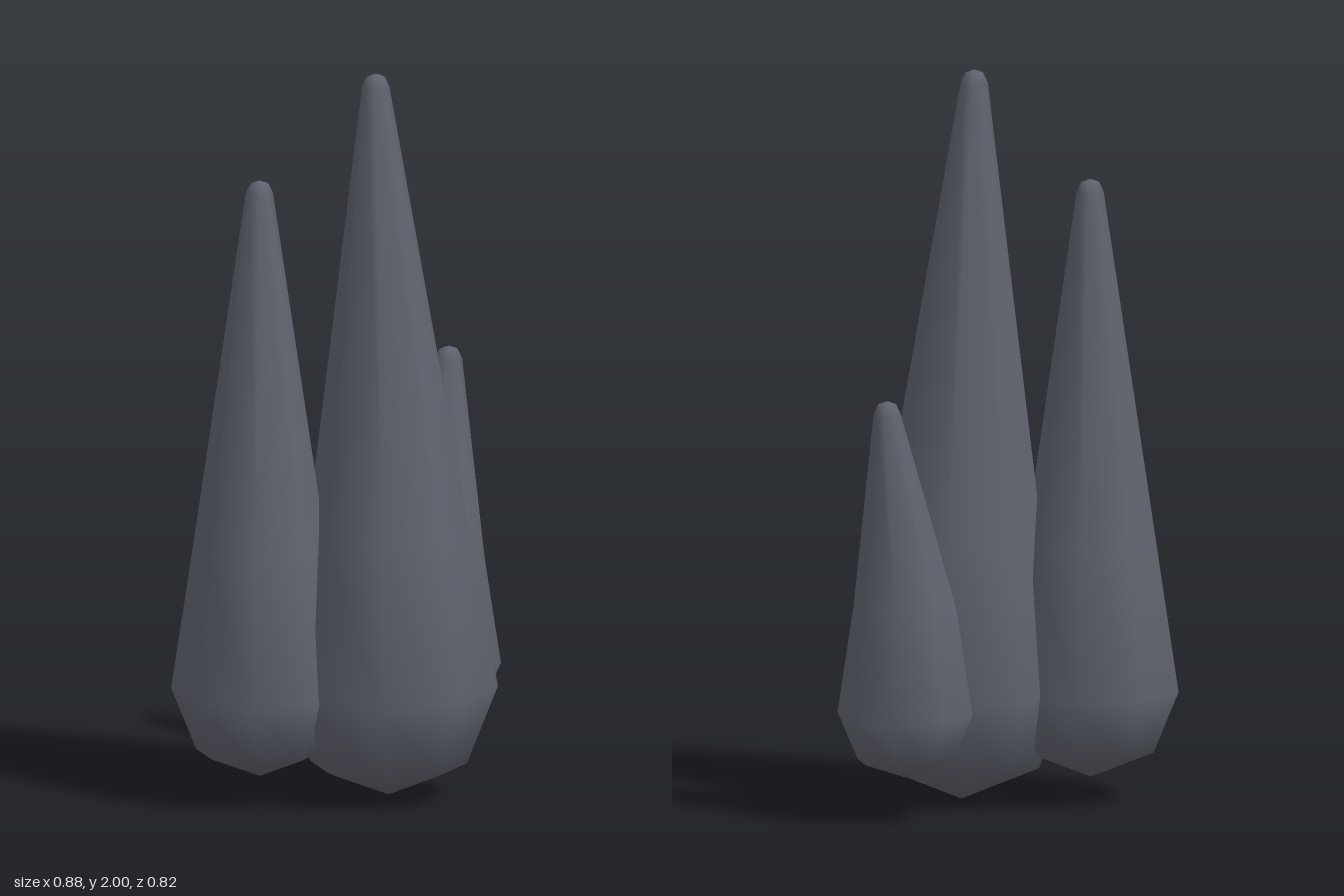
import * as THREE from 'three';
import { mergeVertices } from 'three/addons/utils/BufferGeometryUtils.js';

const slate = new THREE.MeshStandardMaterial({ color: 0x60636e });
slate.name = 'slate';

// Eight-sided smooth spire: pointed foot, wide belly, long taper and a rounded tip that leans off centre.
function spire({ name, base, tip, bottom, footY, footR, bellyY, bellyR, shoulderY, shoulderR, top }) {
  const profile = [
    [0, bottom], [footR, footY], [bellyR, bellyY], [shoulderR, shoulderY],
    [0.037, top - 0.035], [0.025, top - 0.009], [0, top],
  ].map(([r, y]) => new THREE.Vector2(r, y));
  const lathe = new THREE.LatheGeometry(profile, 8);
  lathe.deleteAttribute('uv');
  lathe.deleteAttribute('normal');
  const geometry = mergeVertices(lathe, 1e-4);

  // Lean the taper from the shoulder towards the tip
  const p = geometry.attributes.position;
  for (let i = 0; i < p.count; i++) {
    const t = THREE.MathUtils.clamp((p.getY(i) - shoulderY) / (top - 0.035 - shoulderY), 0, 1);
    p.setX(i, p.getX(i) + THREE.MathUtils.lerp(base[0], tip[0], t));
    p.setZ(i, p.getZ(i) + THREE.MathUtils.lerp(base[1], tip[1], t));
  }
  geometry.computeVertexNormals();
  const mesh = new THREE.Mesh(geometry, slate);
  mesh.name = name;
  return mesh;
}

export function createModel() {
  const group = new THREE.Group();
  group.name = 'spireCluster';
  group.add(
    spire({
      name: 'tallSpire', base: [0.144, 0.11], tip: [0.11, 0.115], bottom: 0, footY: 0.09, footR: 0.212,
      bellyY: 0.305, bellyR: 0.296, shoulderY: 0.73, shoulderR: 0.22, top: 2,
    }),
    spire({
      name: 'middleSpire', base: [-0.2, 0.17], tip: [-0.203, 0.142], bottom: 0.06, footY: 0.132, footR: 0.172,
      bellyY: 0.3, bellyR: 0.24, shoulderY: 0.7, shoulderR: 0.18, top: 1.705,
    }),
    spire({
      name: 'smallSpire', base: [0.24, -0.228], tip: [0.28, -0.278], bottom: 0.115, footY: 0.162, footR: 0.13,
      bellyY: 0.29, bellyR: 0.185, shoulderY: 0.58, shoulderR: 0.141, top: 1.155,
    }),
  );
  return group;
}
